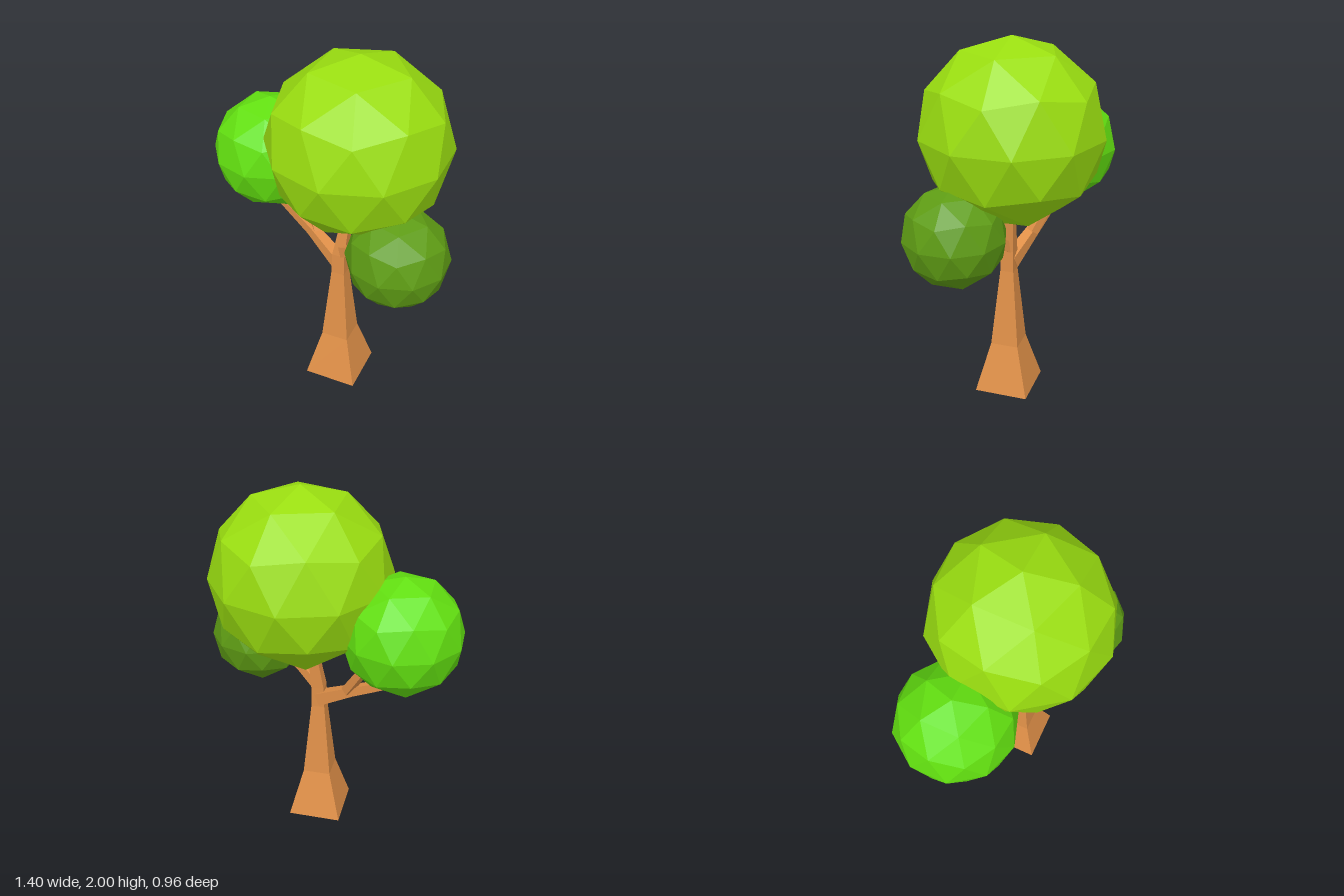
import * as THREE from 'three';

const mat = (name, color) => Object.assign(new THREE.MeshStandardMaterial({ color, flatShading: true }), { name });

// Square-section limb through rings of [x, y, z, halfWidth], capped at both ends
function limb(rings, upright = false) {
  const pts = rings.map(r => new THREE.Vector3(r[0], r[1], r[2]));
  const Y = new THREE.Vector3(0, 1, 0);
  const d = upright ? Y : pts[pts.length - 1].clone().sub(pts[0]).normalize();
  const u = upright ? new THREE.Vector3(1, 0, 0) : d.clone().cross(Y).normalize();
  const v = d.clone().cross(u);
  const pos = [], idx = [];
  rings.forEach((r, i) => {
    for (const [a, b] of [[-1, -1], [1, -1], [1, 1], [-1, 1]]) {
      const p = pts[i].clone().addScaledVector(u, a * r[3]).addScaledVector(v, b * r[3]);
      pos.push(p.x, p.y, p.z);
    }
  });
  for (let i = 0; i < rings.length - 1; i++) {
    for (let k = 0; k < 4; k++) {
      const a = i * 4 + k, b = i * 4 + (k + 1) % 4;
      idx.push(a, b, b + 4, a, b + 4, a + 4);
    }
  }
  const n = (rings.length - 1) * 4;
  idx.push(0, 2, 1, 0, 3, 2, n, n + 1, n + 2, n, n + 2, n + 3);
  let g = new THREE.BufferGeometry();
  g.setAttribute('position', new THREE.Float32BufferAttribute(pos, 3));
  g.setIndex(idx);
  g = g.toNonIndexed();
  g.computeVertexNormals();
  return g;
}

// Faceted ball of leaves, turned so that one corner points straight up
function crown(r) {
  const g = new THREE.IcosahedronGeometry(r, 1);
  g.rotateZ(-Math.atan(2 / (1 + Math.sqrt(5))));
  return g;
}

export function createModel() {
  const tree = new THREE.Group();
  tree.name = 'tree';
  const bark = mat('bark', 0xe09048);
  const add = (name, geometry, material, p = [0, 0, 0]) => {
    const m = new THREE.Mesh(geometry, material);
    m.name = name;
    m.position.set(...p);
    tree.add(m);
  };

  // Trunk with flared foot, leaning slightly at the top
  add('trunk', limb([
    [0.067, 0, 0.052, 0.148],
    [0.067, 0.28, 0.052, 0.077],
    [0.065, 0.72, 0.048, 0.037],
    [0.066, 0.84, 0.046, 0.035],
    [0.095, 1.08, 0.03, 0.023],
    [0.105, 1.16, 0.025, 0.02],
  ], true), bark);

  // Branches
  add('longBranch', limb([
    [0.06, 0.765, 0.04, 0.036],
    [-0.14, 0.885, -0.03, 0.026],
    [-0.42, 1.03, -0.11, 0.018],
  ]), bark);
  add('twig', limb([
    [-0.11, 0.88, -0.03, 0.024],
    [-0.23, 1.1, -0.13, 0.019],
  ]), bark);
  add('shortBranch', limb([
    [0.07, 0.855, 0.045, 0.03],
    [0.18, 0.93, 0.1, 0.025],
    [0.32, 1.01, 0.15, 0.02],
  ]), bark);

  // Leaf crowns
  add('mainCrown', crown(0.48), mat('light green', 0x9ade10), [0.14, 1.52, 0]);
  add('rearCrown', crown(0.316), mat('bright green', 0x62e010), [-0.405, 1.302, -0.1]);
  add('frontCrown', crown(0.267), mat('dark green', 0x5e9c14), [0.443, 1.053, 0.202]);
  return tree;
}
